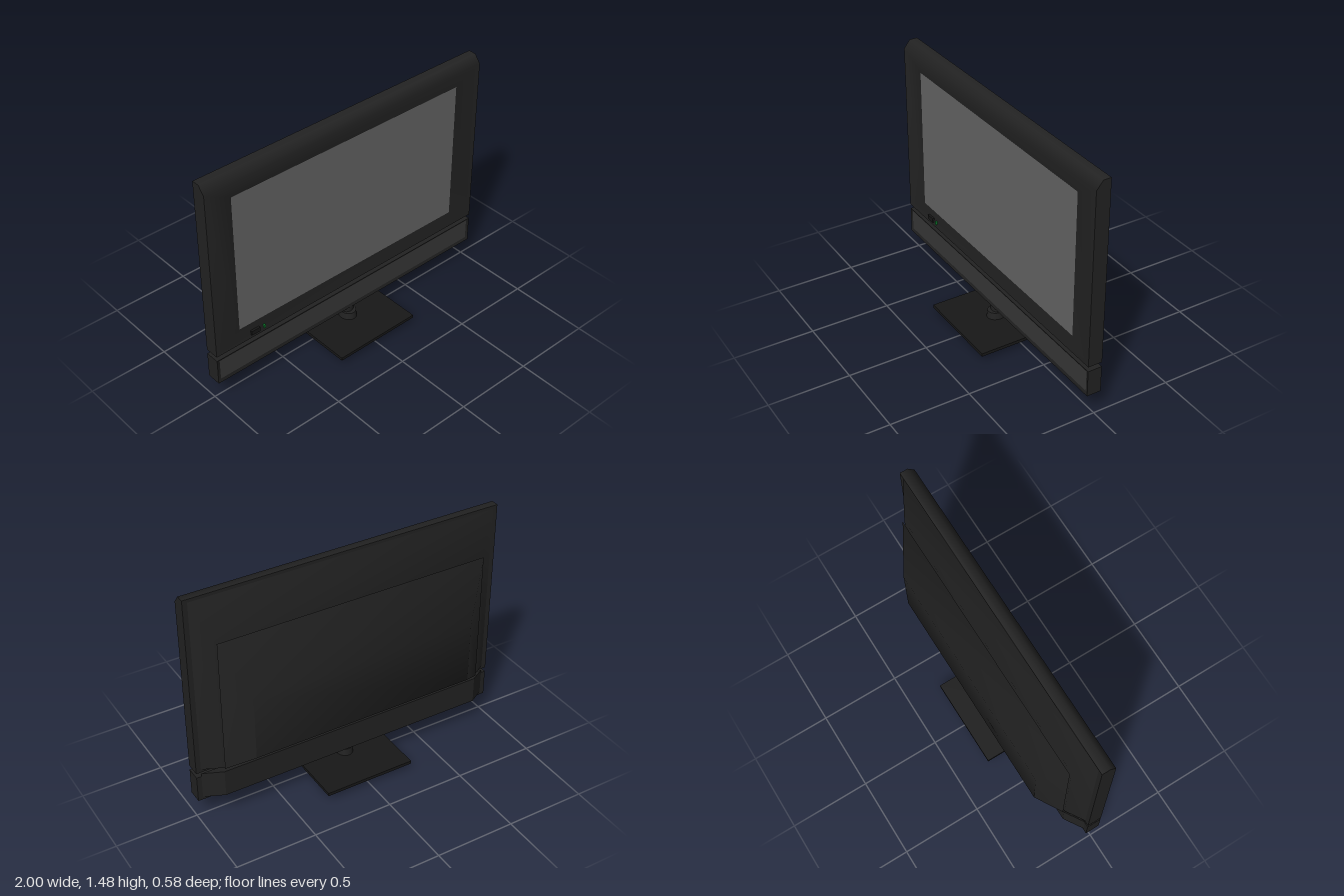
import * as THREE from 'three';
import { toCreasedNormals } from 'three/addons/utils/BufferGeometryUtils.js';

const paint = (color) => new THREE.MeshStandardMaterial({ color });
const casing = paint(0x222222);
const dark = paint(0x181818);
const glass = paint(0x666666);
const cloth = paint(0x383838);
const green = paint(0x118833);

// Closed solid through rectangular sections, back to front: [halfWidth, bottom, top, z]
function loft(sections, crease = 1.0) {
  const pos = [], idx = [];
  for (const [w, b, t, z] of sections) pos.push(-w, b, z, w, b, z, w, t, z, -w, t, z);
  for (let i = 0; i < sections.length - 1; i++) {
    for (let k = 0; k < 4; k++) {
      const a = i * 4 + k, d = i * 4 + (k + 1) % 4;
      idx.push(a, d, d + 4, a, d + 4, a + 4);
    }
  }
  const n = (sections.length - 1) * 4;
  idx.push(0, 2, 1, 0, 3, 2, n, n + 1, n + 2, n, n + 2, n + 3);
  const g = new THREE.BufferGeometry();
  g.setAttribute('position', new THREE.Float32BufferAttribute(pos, 3));
  g.setIndex(idx);
  return toCreasedNormals(g, crease);
}

export function createModel() {
  const model = new THREE.Group();
  function add(name, geometry, material, x = 0, y = 0, z = 0) {
    const mesh = new THREE.Mesh(geometry, material);
    mesh.name = name;
    mesh.position.set(x, y, z);
    model.add(mesh);
    return mesh;
  }

  // Bezel: chamfered along the top front edge, dished in towards the screen
  add('bezel', loft([
    [1, 0.335, 1.48, -0.04],
    [1, 0.335, 1.48, 0.01],
    [1, 0.335, 1.43, 0.05],
    [0.825, 0.43, 1.335, 0.035],
  ]), casing);
  add('screen', new THREE.PlaneGeometry(1.65, 0.905), glass, 0, 0.8825, 0.037);

  // Rear housing in two tapering halves with a narrow vent gap
  add('rearHousing', loft([[0.86, 0.375, 1.215, -0.115], [0.97, 0.355, 1.46, -0.04]]), casing);
  add('rearCover', loft([[0.715, 0.465, 0.86, -0.235], [0.86, 0.375, 1.215, -0.126]]), casing);
  // Hidden spacer joining the two halves
  add('rearSpacer', new THREE.BoxGeometry(0.2, 0.2, 0.03), dark, 0, 0.68, -0.12);

  // Speaker bar under the bezel
  add('speakerBar', loft([
    [1, 0.137, 0.305, -0.04],
    [1, 0.137, 0.305, 0.05],
    [0.98, 0.16, 0.293, 0.044],
  ]), casing);
  add('speakerGrille', new THREE.PlaneGeometry(1.96, 0.133), cloth, 0, 0.2265, 0.046);
  add('speakerRear', loft([[0.86, 0.175, 0.345, -0.115], [0.97, 0.155, 0.325, -0.04]], 0.3), casing);

  // Power button and indicator light
  add('powerButton', new THREE.BoxGeometry(0.06, 0.028, 0.02), dark, -0.725, 0.37, 0.046);
  add('indicatorLight', new THREE.BoxGeometry(0.01, 0.022, 0.02), green, -0.66, 0.37, 0.046);

  // Stand
  add('neck', new THREE.CylinderGeometry(0.041, 0.041, 0.06, 32), casing, 0, 0.12, 0.005);
  const foot = add('standFoot', new THREE.CylinderGeometry(0.047, 0.058, 0.1, 32), casing, 0, 0.05, 0.014);
  foot.scale.z = 1.17;
  add('basePlate', new THREE.BoxGeometry(0.576, 0.02, 0.576), dark, 0, 0.046, 0);

  return model;
}
